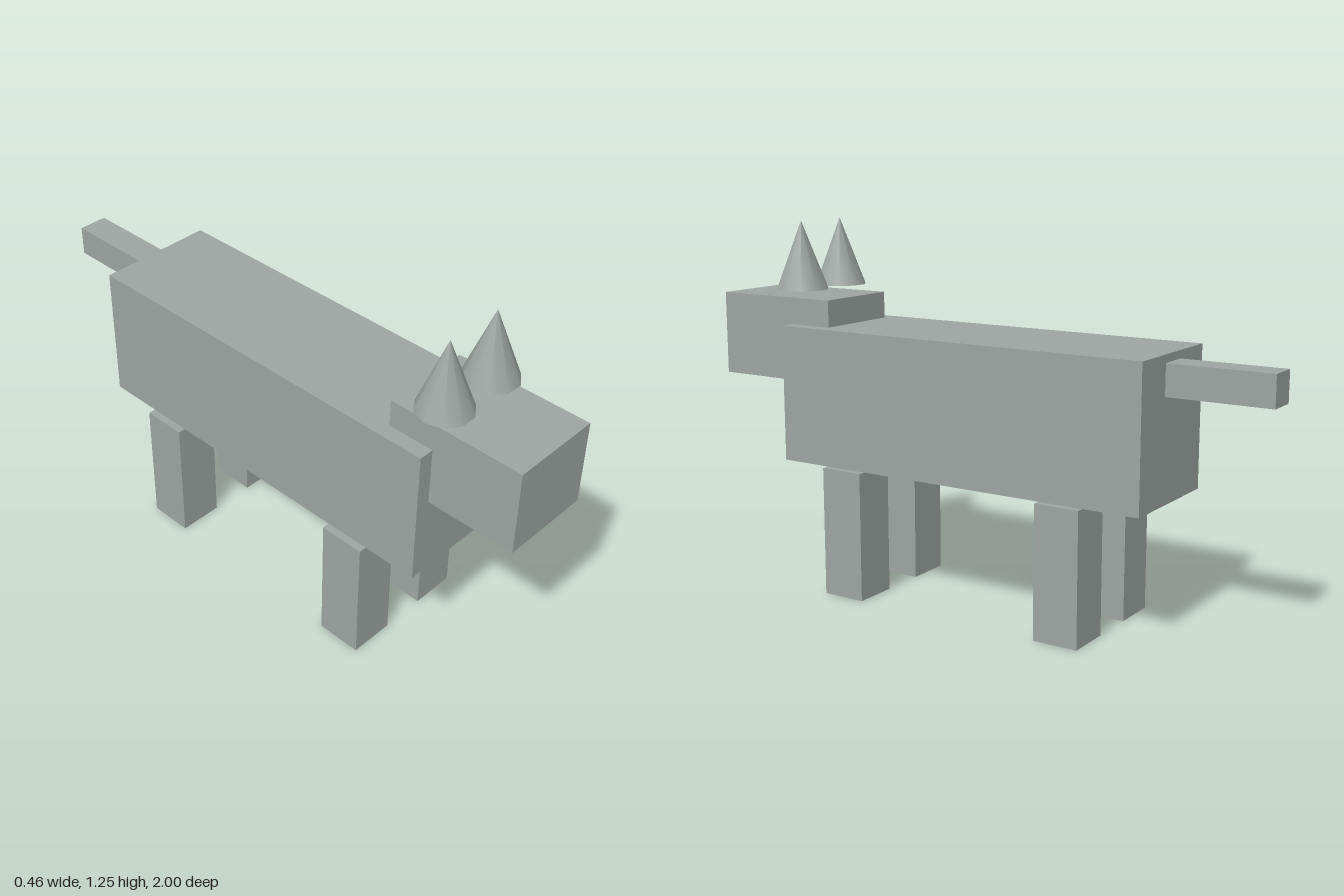
import * as THREE from 'three';

export function createModel() {
  const model = new THREE.Group();
  const grey = new THREE.MeshStandardMaterial({ color: 0x9ca5a2 });
  grey.name = 'stone grey';

  const add = (name, geometry, x, y, z) => {
    const mesh = new THREE.Mesh(geometry, grey);
    mesh.name = name;
    mesh.position.set(x, y, z);
    model.add(mesh);
  };

  // Block from its lowest and highest y, and its back and front z
  const block = (name, x, width, y0, y1, z0, z1) =>
    add(name, new THREE.BoxGeometry(width, y1 - y0, z1 - z0), x, (y0 + y1) / 2, (z0 + z1) / 2);

  block('body', 0, 0.41, 0.44, 0.904, -0.656, 0.698);
  block('head', 0, 0.308, 0.711, 0.995, 0.538, 1);
  block('tail', 0, 0.102, 0.776, 0.878, -1, -0.656);

  // Ten-sided ears, hovering just above the head, with a corner pointing sideways
  const ear = new THREE.ConeGeometry(0.09, 0.232, 10).rotateY(Math.PI / 2);

  for (const [side, s] of [['left', 1], ['right', -1]]) {
    block(`${side}FrontLeg`, s * 0.154, 0.154, 0, 0.44, 0.358, 0.512);
    block(`${side}BackLeg`, s * 0.154, 0.154, 0, 0.44, -0.468, -0.314);
    add(`${side}Ear`, ear, s * 0.103, 1.136, 0.69);
  }

  return model;
}
